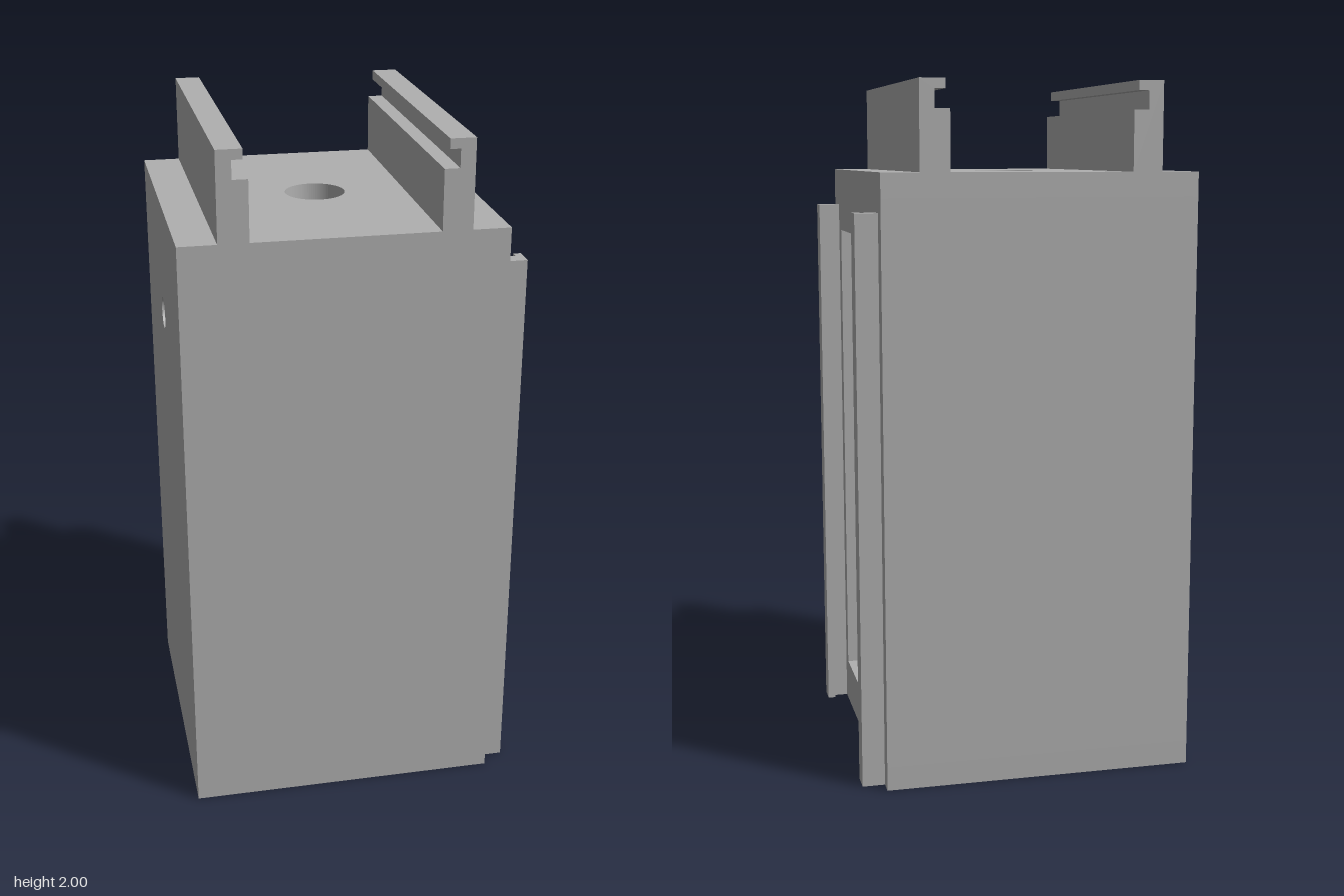
import * as THREE from 'three';

// Housing limits
const X0 = -0.485, X1 = 0.42, Z = 0.455, H = 1.75, T = 0.07;
const CX = (X0 + X1) / 2;

const polygon = (pts) => new THREE.Shape(pts.map(([a, b]) => new THREE.Vector2(a, b)));
const rect = (a0, b0, a1, b1) => polygon([[a0, b0], [a1, b0], [a1, b1], [a0, b1]]);
const circle = (a, b, r) => new THREE.Shape().absarc(a, b, r, 0, Math.PI * 2, false);
const cut = (shape, ...holes) => {
  shape.holes.push(...holes);
  return shape;
};

export function createModel() {
  const model = new THREE.Group();
  const grey = new THREE.MeshStandardMaterial({ color: 0xb0b0b0 });
  grey.name = 'grey';

  // Extrudes a profile between two positions along the given axis
  // x: profile is (-z, y); y: profile is (x, z); z: profile is (x, y)
  function add(name, shape, axis, from, to) {
    const g = new THREE.ExtrudeGeometry(shape, { depth: to - from, bevelEnabled: false, curveSegments: 48 });
    if (axis === 'x') g.rotateY(Math.PI / 2).translate(from, 0, 0);
    if (axis === 'y') g.rotateX(Math.PI / 2).translate(0, to, 0);
    if (axis === 'z') g.translate(0, 0, from);
    const mesh = new THREE.Mesh(g, grey);
    mesh.name = name;
    model.add(mesh);
  }

  // Top and bottom plates
  add('topPlate', cut(rect(X0, -Z, X1, Z), circle(CX, 0, 0.087)), 'y', H - T, H);
  add('bottomPlate', cut(rect(X0, -Z, X1, Z),
    circle(CX - 0.32, 0.32, 0.03), circle(CX + 0.32, 0.32, 0.03)), 'y', 0, T);

  // Open frame on one side, wall with a small hole on the other
  add('openingFrame', cut(rect(-Z, T, Z, H - T), rect(-0.325, 0.13, 0.325, 1.56)), 'x', X1 - T, X1);
  add('holedWall', cut(rect(-Z, T, Z, H - T), circle(0, 1.41, 0.046)), 'x', X0, X0 + T);

  // Front and back walls, each with a shallow recess on the inside
  const wall = () => rect(X0 + T, T, X1 - T, H - T);
  const recessed = cut(wall(), rect(CX - 0.11, 0.14, CX + 0.11, 1.21));
  add('frontWallSkin', wall(), 'z', Z - 0.03, Z);
  add('frontWallLining', recessed, 'z', Z - T, Z - 0.03);
  add('backWallSkin', wall(), 'z', -Z, -Z + 0.03);
  add('backWallLining', recessed, 'z', -Z + 0.03, -Z + T);

  // Ring seat on the floor
  add('floorRing', cut(circle(CX, 0, 0.29), circle(CX, 0, 0.25)), 'y', T, 0.14);

  for (const s of [-1, 1]) {
    // Hooked rails along the top
    add(s < 0 ? 'rightTopRail' : 'leftTopRail', polygon([
      [0.345, H], [0.345, 2], [0.273, 2], [0.273, 1.972], [0.303, 1.972], [0.303, 1.92], [0.26, 1.92], [0.26, H],
    ].map(([x, y]) => [CX + s * x, y])), 'z', -Z, Z);

    // Upright guide rails beside the opening
    add(s < 0 ? 'backGuideRail' : 'frontGuideRail', polygon([
      [X1, 0.41], [0.485, 0.41], [0.485, 0.347], [0.463, 0.347], [0.463, 0.368], [X1, 0.368],
    ].map(([x, z]) => [x, s * z])), 'y', 0, 1.64);
  }

  return model;
}
